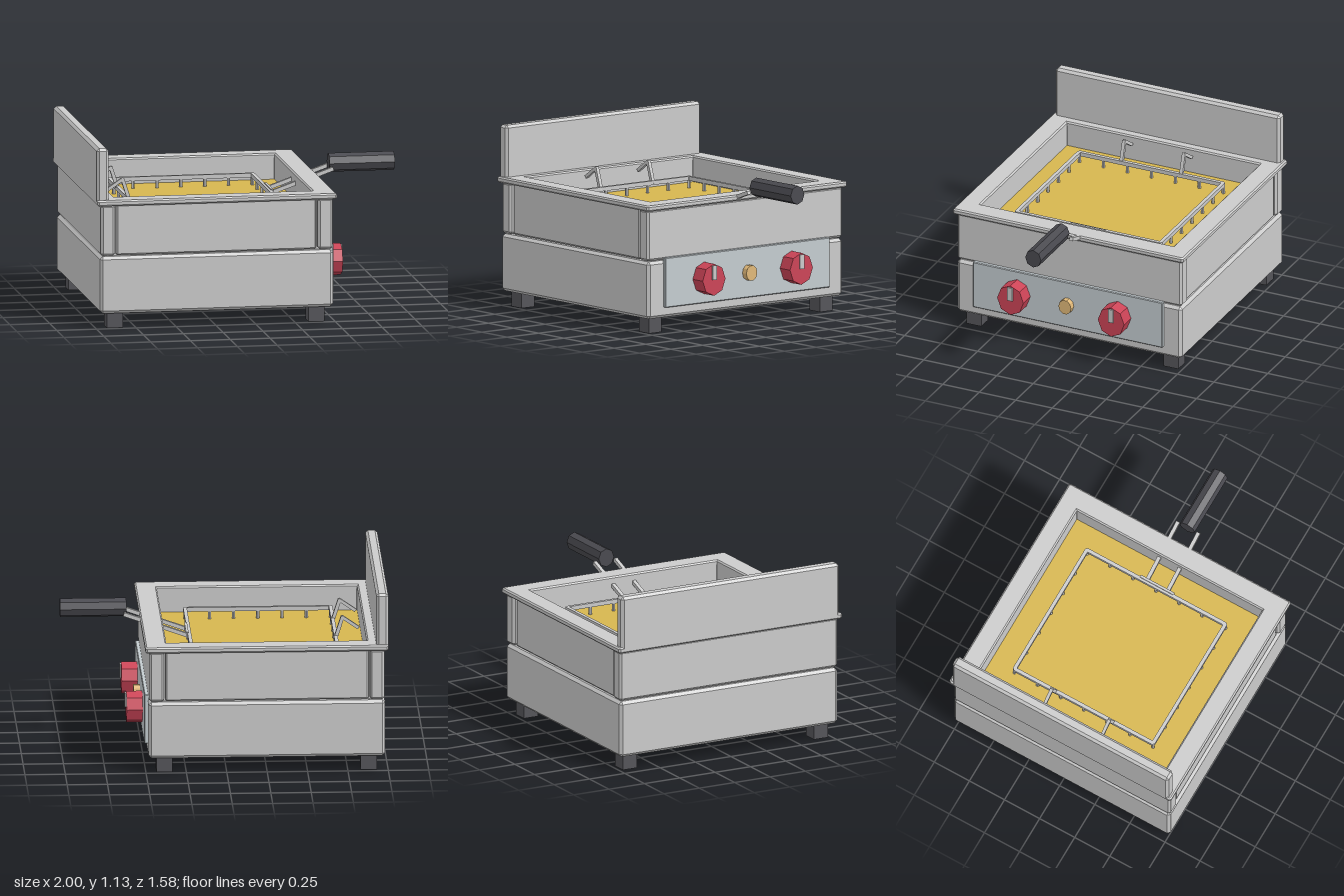
import * as THREE from 'three';
import { ConvexGeometry } from 'three/addons/geometries/ConvexGeometry.js';

const mat = (color) => new THREE.MeshStandardMaterial({ color, flatShading: true });

export function createModel() {
  const model = new THREE.Group();
  const steel = mat(0xcccccc), dark = mat(0x55555a), grip = mat(0x4a4a50);
  const red = mat(0xcc4457), amber = mat(0xe0b878), gold = mat(0xd6b64f), plate = mat(0xc4ccd0);

  const add = (name, geometry, material = steel) => {
    const mesh = new THREE.Mesh(geometry, material);
    mesh.name = name;
    model.add(mesh);
    return mesh;
  };
  // Boxes are given by their limits on each axis
  const box = (name, [x0, x1], [y0, y1], [z0, z1], material) => {
    const m = add(name, new THREE.BoxGeometry(x1 - x0, y1 - y0, z1 - z0), material);
    m.position.set((x0 + x1) / 2, (y0 + y1) / 2, (z0 + z1) / 2);
    return m;
  };
  // Box with every edge cut by a chamfer c
  const chamferBox = (name, [x0, x1], [y0, y1], [z0, z1], c, material) => {
    const h = [(x1 - x0) / 2, (y1 - y0) / 2, (z1 - z0) / 2];
    const points = [];
    for (const sx of [-1, 1]) for (const sy of [-1, 1]) for (const sz of [-1, 1])
      for (let full = 0; full < 3; full++) {
        const p = h.map((v, i) => (i === full ? v : v - c));
        points.push(new THREE.Vector3(sx * p[0], sy * p[1], sz * p[2]));
      }
    const m = add(name, new ConvexGeometry(points), material);
    m.position.set((x0 + x1) / 2, (y0 + y1) / 2, (z0 + z1) / 2);
    return m;
  };
  // Rectangle outline with cut corners
  const outline = (Type, x0, x1, z, c) => new Type([
    [x0 + c, -z], [x1 - c, -z], [x1, -z + c], [x1, z - c],
    [x1 - c, z], [x0 + c, z], [x0, z - c], [x0, -z + c],
  ].map(([x, y]) => new THREE.Vector2(x, y)));
  // Flat rectangular ring lying between y0 and y1
  const ring = (name, outer, inner, y0, y1, c, bevel = 0) => {
    const [ox0, ox1, oz] = outer, [ix0, ix1, iz] = inner;
    const shape = outline(THREE.Shape, ox0 + bevel, ox1 - bevel, oz - bevel, c);
    shape.holes.push(outline(THREE.Path, ix0 - bevel, ix1 + bevel, iz + bevel, 0.002));
    const g = new THREE.ExtrudeGeometry(shape, {
      depth: y1 - y0 - 2 * bevel, bevelEnabled: bevel > 0,
      bevelSize: bevel, bevelThickness: bevel, bevelSegments: 1,
    });
    g.rotateX(-Math.PI / 2).translate(0, y0 + bevel, 0);
    return add(name, g);
  };
  // Square bar between two points in the plane z
  const bar = (name, [ax, ay], [bx, by], z, size) => {
    const m = add(name, new THREE.BoxGeometry(Math.hypot(bx - ax, by - ay), size, size));
    m.position.set((ax + bx) / 2, (ay + by) / 2, z);
    m.rotation.z = Math.atan2(by - ay, bx - ax);
    return m;
  };
  // Faceted cylinder along x
  const barrel = (name, [x0, x1], y, z, ry, rz, sides, material) => {
    const g = new THREE.CylinderGeometry(1, 1, x1 - x0, sides).rotateZ(Math.PI / 2);
    g.scale(1, ry, rz);
    const m = add(name, g, material);
    m.position.set((x0 + x1) / 2, y, z);
    return m;
  };

  // Base housing and feet
  chamferBox('baseHousing', [-0.98, 0.485], [0.097, 0.455], [-0.77, 0.77], 0.018);
  for (const x of [-0.88, 0.385]) for (const z of [-0.675, 0.675])
    box('foot', [x - 0.05, x + 0.05], [0, 0.1], [z - 0.05, z + 0.05], dark);

  // Upper housing: end walls run the full width, side walls sit slightly inside
  chamferBox('backWall', [-0.975, -0.885], [0.46, 0.78], [-0.77, 0.77], 0.014);
  chamferBox('frontWall', [0.388, 0.482], [0.46, 0.78], [-0.77, 0.77], 0.014);
  for (const s of [-1, 1]) {
    const z = [0.67 * s, 0.755 * s].sort((a, b) => a - b);
    chamferBox('sideWall', [-0.877, 0.38], [0.46, 0.78], z, 0.01);
  }

  // Tank, oil, rim and splash guard
  ring('tankLiner', [-0.93, 0.43, 0.72], [-0.87, 0.37, 0.66], 0.45, 0.785, 0.002);
  box('oil', [-0.88, 0.38], [0.45, 0.65], [-0.67, 0.67], gold);
  ring('rim', [-1, 0.505, 0.79], [-0.87, 0.37, 0.66], 0.775, 0.812, 0.006, 0.009);
  chamferBox('splashGuard', [-1, -0.925], [0.785, 1.135], [-0.77, 0.77], 0.016);

  // Control panel, dials and lamp
  chamferBox('controlPanel', [0.475, 0.506], [0.162, 0.475], [-0.65, 0.65], 0.005, plate);
  for (const z of [-0.345, 0.345]) {
    barrel('dial', [0.5, 0.605], 0.32, z, 0.1, 0.09, 8, red);
    box('dialPointer', [0.58, 0.614], [0.32, 0.41], [z - 0.017, z + 0.017]);
  }
  barrel('lamp', [0.5, 0.546], 0.32, 0, 0.049, 0.043, 10, amber);

  // Basket frame with wire stubs going down into the oil
  ring('basketFrame', [-0.71, 0.215, 0.505], [-0.687, 0.192, 0.482], 0.698, 0.724, 0.012);
  const stub = (x, z) => {
    const m = add('basketWire', new THREE.CylinderGeometry(0.011, 0.011, 0.1, 6));
    m.position.set(x, 0.66, z);
  };
  for (let i = 0; i < 7; i++) for (const z of [-0.493, 0.493]) stub(-0.698 + i * 0.15, z);
  for (let i = 1; i < 6; i++) for (const x of [-0.698, 0.203]) stub(x, -0.493 + i * 0.1643);

  // Hanging hooks on the basket's back edge
  for (const z of [-0.205, 0.205]) {
    bar('hookStem', [-0.697, 0.705], [-0.742, 0.845], z, 0.022);
    bar('hookTip', [-0.735, 0.842], [-0.84, 0.77], z, 0.02);
  }

  // Handle bracket, rods and grip
  box('handleBracket', [0.208, 0.224], [0.69, 0.73], [-0.12, 0.12]);
  for (const z of [-0.073, 0.073]) bar('handleRod', [0.215, 0.7], [0.608, 0.839], z, 0.024);
  barrel('handleGrip', [0.59, 1], 0.865, 0, 0.059, 0.054, 8, grip);

  return model;
}
